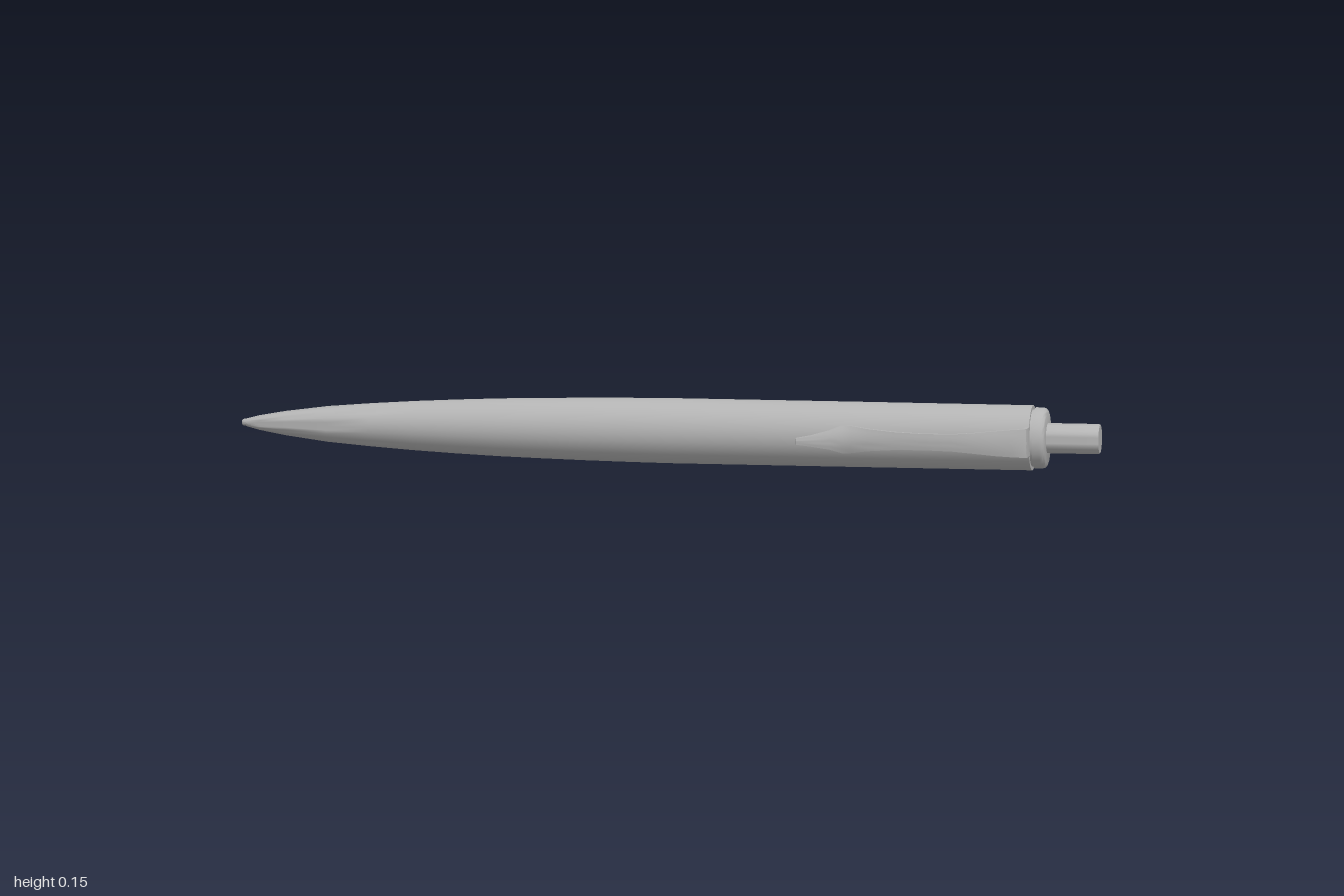
import * as THREE from 'three';
import { toCreasedNormals } from 'three/addons/utils/BufferGeometryUtils.js';

const AXIS_Y = 0.077, AXIS_Z = -0.033;

// Turned part along x, from [x, radius] pairs ordered from the tip to the button
function turned(name, profile, material, segments = 28) {
  const points = profile.map(([x, r]) => new THREE.Vector2(r, x));
  const geometry = new THREE.LatheGeometry(points, segments).rotateZ(-Math.PI / 2);
  const mesh = new THREE.Mesh(toCreasedNormals(geometry, 0.7), material);
  mesh.name = name;
  mesh.position.set(0, AXIS_Y, AXIS_Z);
  return mesh;
}

// Arched metal strip swept along stations of [x, z, halfWidth, arch]
function clipGeometry(stations, thickness) {
  const across = 6, n = 2 * (across + 1), positions = [], index = [];
  stations.forEach(([x, z, w, arch], i) => {
    const a = stations[Math.max(i - 1, 0)];
    const b = stations[Math.min(i + 1, stations.length - 1)];
    const length = Math.hypot(b[0] - a[0], b[1] - a[1]);
    const nx = -(b[1] - a[1]) / length, nz = (b[0] - a[0]) / length;
    for (let k = 0; k < n; k++) {
      const outer = k <= across;
      const t = ((outer ? k : n - 1 - k) / across) * 2 - 1;
      const depth = arch * t * t + (outer ? 0 : thickness);
      positions.push(x - nx * depth, AXIS_Y + 0.001 + t * w, z - nz * depth);
    }
  });
  const last = (stations.length - 1) * n;
  for (let s = 0; s < last; s += n) {
    for (let k = 0; k < n; k++) {
      const m = (k + 1) % n;
      index.push(s + k, s + n + k, s + m, s + m, s + n + k, s + n + m);
    }
  }
  // End caps
  for (let k = 0; k < across; k++) {
    const p = n - 1 - k;
    index.push(k, k + 1, p, k + 1, p - 1, p);
    index.push(last + k, last + p, last + k + 1, last + k + 1, last + p, last + p - 1);
  }
  const geometry = new THREE.BufferGeometry();
  geometry.setAttribute('position', new THREE.Float32BufferAttribute(positions, 3));
  geometry.setIndex(index);
  return toCreasedNormals(geometry, 0.7);
}

export function createModel() {
  const pen = new THREE.Group();
  pen.name = 'pen';
  const metal = new THREE.MeshStandardMaterial({ color: 0xb4b4b4 });
  metal.name = 'grey metal';

  // Writing point
  pen.add(turned('nib', [[-1, 0], [-1, 0.005], [-0.996, 0.008], [-0.975, 0.009]], metal, 16));

  // Long tapering barrel
  pen.add(turned('barrel', [
    [-0.99, 0], [-0.99, 0.009], [-0.96, 0.017], [-0.9, 0.028], [-0.8, 0.0415],
    [-0.7, 0.050], [-0.6, 0.057], [-0.5, 0.0625], [-0.4, 0.067], [-0.3, 0.070],
    [-0.2, 0.0725], [-0.1, 0.0743], [0, 0.0755], [0.4, 0.0757], [0.843, 0.0755], [0.843, 0],
  ], metal));

  // Rounded collar behind a narrow groove
  pen.add(turned('collar', [
    [0.84, 0.066], [0.849, 0.066], [0.849, 0.071], [0.866, 0.071],
    [0.872, 0.0695], [0.876, 0.066], [0.878, 0.061], [0.878, 0],
  ], metal));

  // Push button
  pen.add(turned('pushButton', [
    [0.87, 0.035], [0.996, 0.035], [1, 0.033], [1, 0],
  ], metal));

  // Pocket clip, folded into the barrel at its rear end
  const clip = new THREE.Mesh(clipGeometry([
    [0.308, 0.107, 0.007, 0.001], [0.345, 0.097, 0.013, 0.002], [0.385, 0.079, 0.022, 0.004],
    [0.412, 0.068, 0.032, 0.009], [0.43, 0.0655, 0.032, 0.008], [0.47, 0.066, 0.026, 0.004],
    [0.53, 0.070, 0.021, 0.002], [0.6, 0.077, 0.019, 0.002], [0.67, 0.083, 0.020, 0.002],
    [0.72, 0.085, 0.024, 0.003], [0.77, 0.082, 0.029, 0.004], [0.81, 0.076, 0.032, 0.004],
    [0.832, 0.072, 0.033, 0.003], [0.841, 0.067, 0.034, 0.002], [0.844, 0.058, 0.034, 0.001],
    [0.844, 0.02, 0.034, 0],
  ], 0.009), metal);
  clip.name = 'clip';
  pen.add(clip);

  return pen;
}
